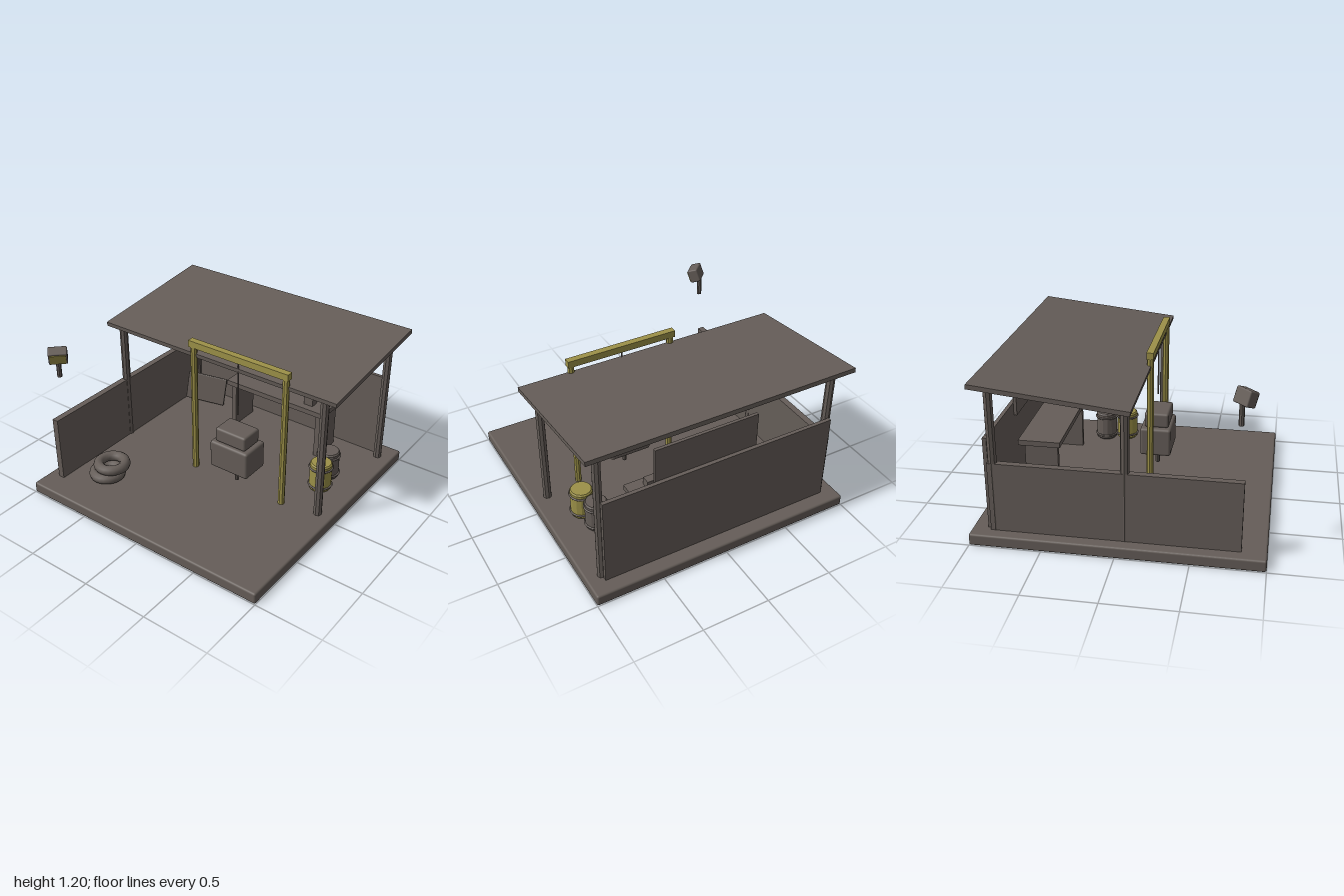
import * as THREE from 'three';
import { RoundedBoxGeometry } from 'three/addons/geometries/RoundedBoxGeometry.js';

export function createModel() {
  const root = new THREE.Group();
  root.name = 'openWorkshop';
  const grey = new THREE.MeshStandardMaterial({ name: 'warm grey', color: 0x655d58, flatShading: false });
  const yellow = new THREE.MeshStandardMaterial({ name: 'dull yellow', color: 0x9c9148 });

  function add(name, geometry, material, x, y, z, parent = root) {
    const mesh = new THREE.Mesh(geometry, material);
    mesh.name = name;
    mesh.position.set(x, y, z);
    parent.add(mesh);
    return mesh;
  }
  // Box given by its limits on each axis
  function box(name, material, [x0, x1], [y0, y1], [z0, z1], radius = 0) {
    const size = [x1 - x0, y1 - y0, z1 - z0];
    const geometry = radius ? new RoundedBoxGeometry(...size, 3, radius) : new THREE.BoxGeometry(...size);
    return add(name, geometry, material, (x0 + x1) / 2, (y0 + y1) / 2, (z0 + z1) / 2);
  }
  // Upright faceted post from y0 to y1
  function post(name, material, r, x, z, y0, y1, sides = 8) {
    const geometry = new THREE.CylinderGeometry(r, r, y1 - y0, sides).toNonIndexed();
    geometry.computeVertexNormals();
    return add(name, geometry, material, x, (y0 + y1) / 2, z);
  }

  const floor = 0.085;

  // Floor slab, walls and sloping roof
  box('floorSlab', grey, [-1, 1], [0, floor], [-1, 1], 0.015);
  box('backWall', grey, [-0.885, 0.885], [floor, 0.757], [-0.893, -0.865]);
  box('sideWall', grey, [-0.914, -0.866], [floor, 0.587], [-0.865, 0.83]);
  add('roof', new THREE.BoxGeometry(2, 0.032, 1.055), grey, 0, 1.103, -0.41).rotation.x = 0.108;
  for (const x of [-0.886, 0.886]) {
    post('frontPost', grey, 0.031, x, 0.058, floor, 1.04);
    post('backPost', grey, 0.031, x, -0.832, floor, 1.135);
  }

  // Tool board with hanging tools
  box('toolBoard', grey, [-0.28, 0.495], [0.66, 1.012], [-0.865, -0.842]);
  for (let i = 0; i < 4; i++) {
    const x = -0.04 + i * 0.135;
    box('hangingTool', grey, [x - 0.011, x + 0.011], [0.75, 0.905], [-0.842, -0.825]);
  }

  // Workbench and vise
  box('benchTop', grey, [-0.335, 0.55], [0.45, 0.49], [-0.83, -0.52]);
  for (const x of [-0.283, 0.497]) {
    box('benchSide', grey, [x - 0.019, x + 0.019], [floor, 0.45], [-0.79, -0.545]);
  }
  box('vise', grey, [0.35, 0.427], [0.49, 0.552], [-0.64, -0.577]);

  // Hoist frame, chain and hanging engine
  box('hoistBeam', yellow, [-0.2, 0.637], [1.112, 1.162], [0.085, 0.135]);
  for (const x of [-0.168, 0.611]) post('hoistLeg', yellow, 0.025, x, 0.11, floor, 1.112);
  post('hoistChain', grey, 0.006, 0.219, 0.11, 0.69, 1.112, 6);
  box('engineBlock', grey, [0.055, 0.382], [0.25, 0.467], [-0.003, 0.228], 0.02);
  box('engineHead', grey, [0.09, 0.35], [0.467, 0.58], [0.025, 0.207], 0.018);
  post('engineShaft', grey, 0.016, 0.219, 0.11, 0.125, 0.26);

  // Drums with two hoops each
  const drumProfile = [[0, 0], [0.074, 0], [0.083, 0.012], [0.083, 0.212], [0.074, 0.224], [0, 0.224]]
    .map(([r, y]) => new THREE.Vector2(r, y));
  const drumGeometry = new THREE.LatheGeometry(drumProfile, 14).toNonIndexed();
  drumGeometry.computeVertexNormals();
  const hoopGeometry = new THREE.TorusGeometry(0.085, 0.008, 6, 20).rotateX(Math.PI / 2);
  for (const [name, material, x, z] of [['yellowDrum', yellow, 0.735, -0.222], ['greyDrum', grey, 0.70, -0.388]]) {
    const drum = new THREE.Group();
    drum.name = name;
    drum.position.set(x, floor, z);
    add('drumBody', drumGeometry, material, 0, 0, 0, drum);
    for (const y of [0.035, 0.185]) add('drumHoop', hoopGeometry, grey, 0, y, 0, drum);
    root.add(drum);
  }

  // Stacked tyres
  const tyreGeometry = new THREE.TorusGeometry(0.099, 0.039, 10, 24).rotateX(Math.PI / 2);
  add('lowerTyre', tyreGeometry, grey, -0.615, 0.126, 0.614);
  add('upperTyre', tyreGeometry, grey, -0.583, 0.205, 0.594);

  // Loose panel leaning in the back corner
  add('leaningPanel', new RoundedBoxGeometry(0.335, 0.24, 0.025, 2, 0.008), grey, -0.67, 0.222, -0.68)
    .rotation.set(-0.15, 0.35, -0.04);

  // Floodlight aimed down at the yard
  post('lampPole', grey, 0.018, -0.835, 0.785, 0.952, 1.11);
  const lamp = new THREE.Group();
  lamp.name = 'floodlight';
  lamp.position.set(-0.81, 1.135, 0.805);
  lamp.rotation.set(0.35, Math.PI / 4, 0, 'YXZ');
  add('lampHousing', new RoundedBoxGeometry(0.132, 0.105, 0.08, 2, 0.01), grey, 0, 0, 0, lamp);
  add('lampLens', new THREE.BoxGeometry(0.112, 0.08, 0.008), yellow, 0, 0, 0.042, lamp);
  root.add(lamp);

  return root;
}
